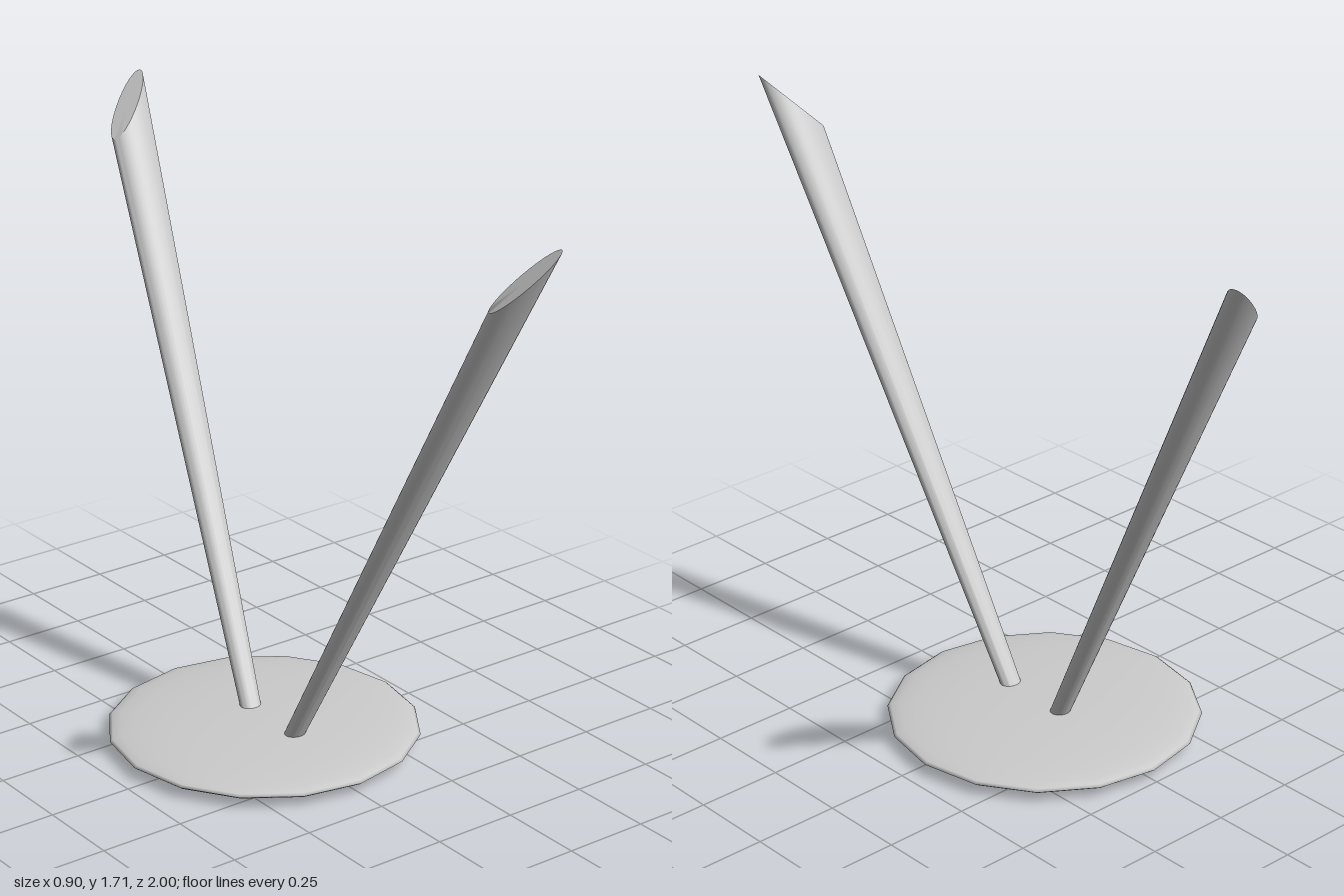
import * as THREE from 'three';
import { toCreasedNormals } from 'three/addons/utils/BufferGeometryUtils.js';

const material = new THREE.MeshStandardMaterial({ color: 0xcccccc });

// Leaning rod with an oval section that widens upward and ends in a slanted cut.
// side is +1 for the rod leaning to the front, -1 for the back.
function createRod(name, side, base, top) {
  const geometry = new THREE.CylinderGeometry(1, 1, 1, 32, 1);
  const pos = geometry.attributes.position;
  const axis = top.clone().sub(base);
  const p = new THREE.Vector3();
  for (let i = 0; i < pos.count; i++) {
    p.fromBufferAttribute(pos, i);
    const upper = p.y > 0;
    const dx = p.x * (upper ? 0.072 : 0.031);
    const dz = p.z * (upper ? 0.035 : 0.027);
    // the cut rises toward +x and slightly outward
    const dy = upper ? 1.11 * dx + 0.3 * side * dz : 0;
    p.copy(upper ? top : base).addScaledVector(axis, dy / axis.y);
    pos.setXYZ(i, p.x + dx, p.y, p.z + dz);
  }
  const rod = new THREE.Mesh(toCreasedNormals(geometry, 0.6), material);
  rod.name = name;
  return rod;
}

export function createModel() {
  const group = new THREE.Group();
  group.name = 'twoRodStand';

  // Thin lens-shaped base
  const base = new THREE.Mesh(new THREE.SphereGeometry(1, 16, 16), material);
  base.name = 'base';
  base.scale.set(0.45, 0.033, 0.45);
  base.position.set(0, 0.034, -0.04);
  group.add(base);

  // Rods spreading to front and back
  group.add(
    createRod('frontRod', 1, new THREE.Vector3(0.001, 0.04, 0.09), new THREE.Vector3(0.075, 1.63, 0.942)),
    createRod('backRod', -1, new THREE.Vector3(0.003, 0.04, -0.1), new THREE.Vector3(0.177, 1.63, -0.942))
  );
  return group;
}
